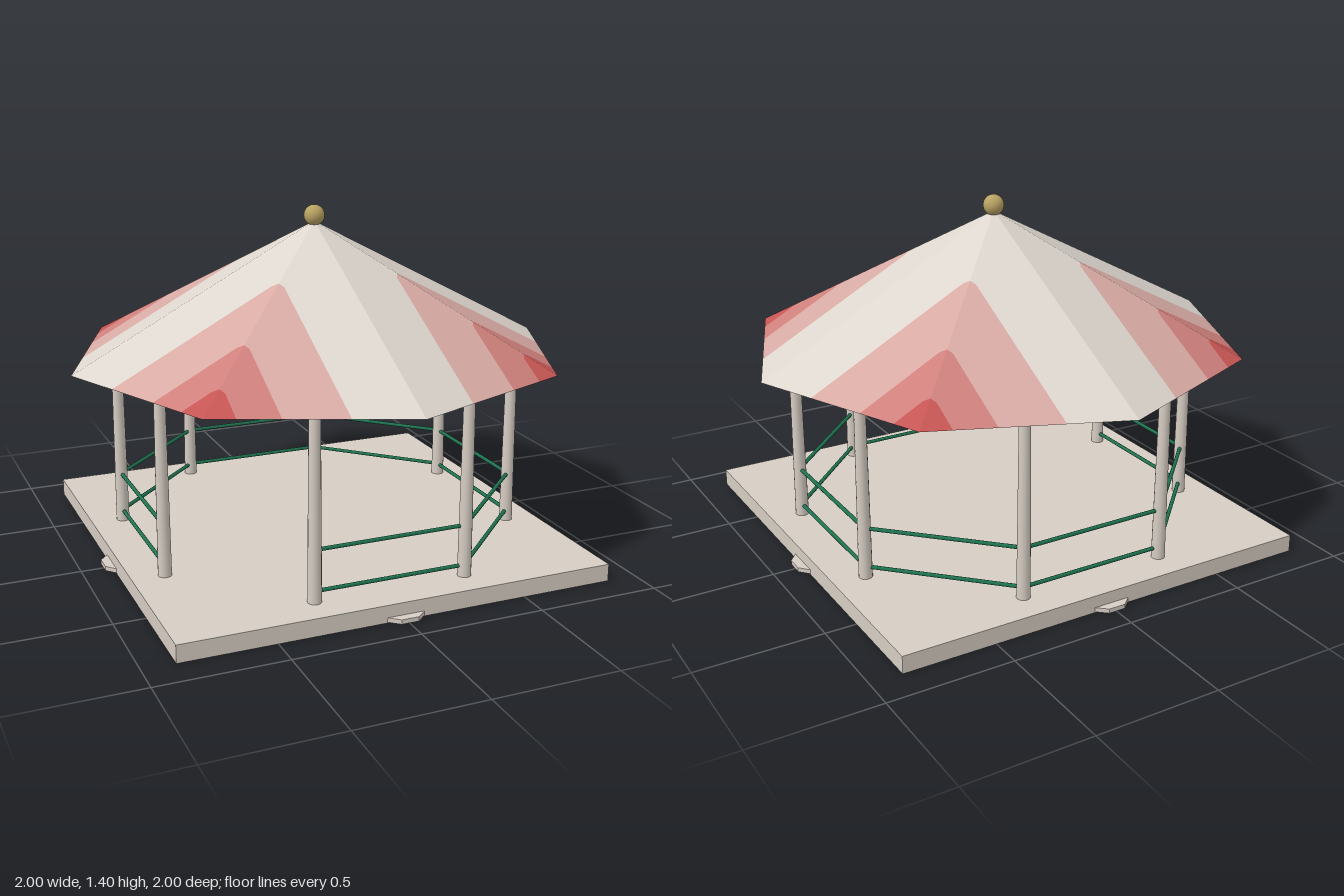
import * as THREE from 'three';

const mat = (name, color, side = THREE.FrontSide) => {
  const m = new THREE.MeshStandardMaterial({ color, side });
  m.name = name;
  return m;
};

export function createModel() {
  const model = new THREE.Group();
  model.name = 'gazebo';
  const stone = mat('stone', 0xd6cdc3);
  const green = mat('railGreen', 0x1f7350);
  const gold = mat('gold', 0xb8a263);
  const black = mat('lampBlack', 0x2c2c2f);
  const glass = mat('lampGlass', 0xd6d0c8);
  const roofMats = [
    mat('canvas', 0xddd6ce, THREE.DoubleSide),
    mat('paleRed', 0xd8aaa4, THREE.DoubleSide),
    mat('midRed', 0xce807c, THREE.DoubleSide),
    mat('deepRed', 0xc55654, THREE.DoubleSide),
  ];

  const add = (name, geo, material, x = 0, y = 0, z = 0, parent = model) => {
    const mesh = new THREE.Mesh(geo, material);
    mesh.name = name;
    mesh.position.set(x, y, z);
    parent.add(mesh);
    return mesh;
  };

  // Square floor slab with a small tab at the middle of each side
  add('floor', new THREE.BoxGeometry(1.75, 0.07, 1.75), stone, 0, 0.035, 0);
  const tabShape = new THREE.Shape([[-0.075, 0], [0.075, 0], [0.035, 0.035], [-0.035, 0.035]]
    .map(([x, y]) => new THREE.Vector2(x, y)));
  const tabGeo = new THREE.ExtrudeGeometry(tabShape, { depth: 0.018, bevelEnabled: false });
  tabGeo.rotateX(Math.PI / 2).translate(0, 0.021, 0.875);
  for (let i = 0; i < 4; i++) add('floorTab', tabGeo, stone).rotation.y = i * Math.PI / 2;

  // Eight slightly tapered posts
  const R = 0.806, step = Math.PI / 4;
  const postGeo = new THREE.CylinderGeometry(0.022, 0.027, 0.735, 16);
  for (let i = 0; i < 8; i++) {
    const a = (i + 0.5) * step;
    add('post', postGeo, stone, R * Math.cos(a), 0.4375, R * Math.sin(a));
  }

  // Two rails between neighbouring posts, with one bay left open as the entrance
  const railGeo = new THREE.CylinderGeometry(0.008, 0.008, 2 * R * Math.sin(step / 2), 8);
  railGeo.rotateX(Math.PI / 2);
  for (let i = 0; i < 8; i++) {
    if (i === 3) continue;
    const bay = new THREE.Group();
    bay.name = 'railing';
    bay.rotation.y = -i * step;
    for (const y of [0.112, 0.274]) add('rail', railGeo, green, R * Math.cos(step / 2), y, 0, bay);
    model.add(bay);
  }

  // Octagonal roof: each corner stripe is a chevron folded over a diagonal ridge
  const S = Math.SQRT1_2, ca = Math.cos(step / 2), sa = Math.sin(step / 2);
  const roofY = (x, z) => 1.335 - 0.53 * (x * ca + z * sa) / ca;
  const chevron = (t) => {
    const c = 0.012;
    return [[t + c, t + c], [t + 3 * c, t], [1 - t * (1 - S) / S, t]];
  };
  const edges = [
    [[0, 0], [0.5, 0], [1, 0]],
    chevron(0.235), chevron(0.455), chevron(0.6),
    [[S, S], [S, S], [S, S]],
  ];
  const bandNames = ['roofPanels', 'roofOuterStripe', 'roofMiddleStripe', 'roofCornerPatch'];
  bandNames.forEach((name, b) => {
    const pos = [];
    const tri = (pts, quarter, mirrored) => {
      const order = mirrored ? [pts[0], pts[2], pts[1]] : pts;
      for (const [px, pz] of order) {
        let [x, z] = mirrored ? [pz, px] : [px, pz];
        for (let i = 0; i < quarter; i++) [x, z] = [-z, x];
        pos.push(x, roofY(px, pz), z);
      }
    };
    const p = edges[b], q = edges[b + 1];
    for (let quarter = 0; quarter < 4; quarter++) {
      for (const mirrored of [false, true]) {
        for (let i = 0; i < 2; i++) {
          tri([p[i], q[i], p[i + 1]], quarter, mirrored);
          if (b < 3) tri([p[i + 1], q[i], q[i + 1]], quarter, mirrored);
        }
      }
    }
    const geo = new THREE.BufferGeometry();
    geo.setAttribute('position', new THREE.Float32BufferAttribute(pos, 3));
    geo.computeVertexNormals();
    add(name, geo, roofMats[b]);
  });

  // Finial ball
  add('finial', new THREE.SphereGeometry(0.042, 24, 16), gold, 0, 1.358, 0);

  // Hanging lamp
  add('lampShade', new THREE.CylinderGeometry(0.048, 0.06, 0.075, 20), black, 0, 0.748, 0);
  add('lampBulb', new THREE.SphereGeometry(0.042, 24, 16), glass, 0, 0.69, 0);

  return model;
}
